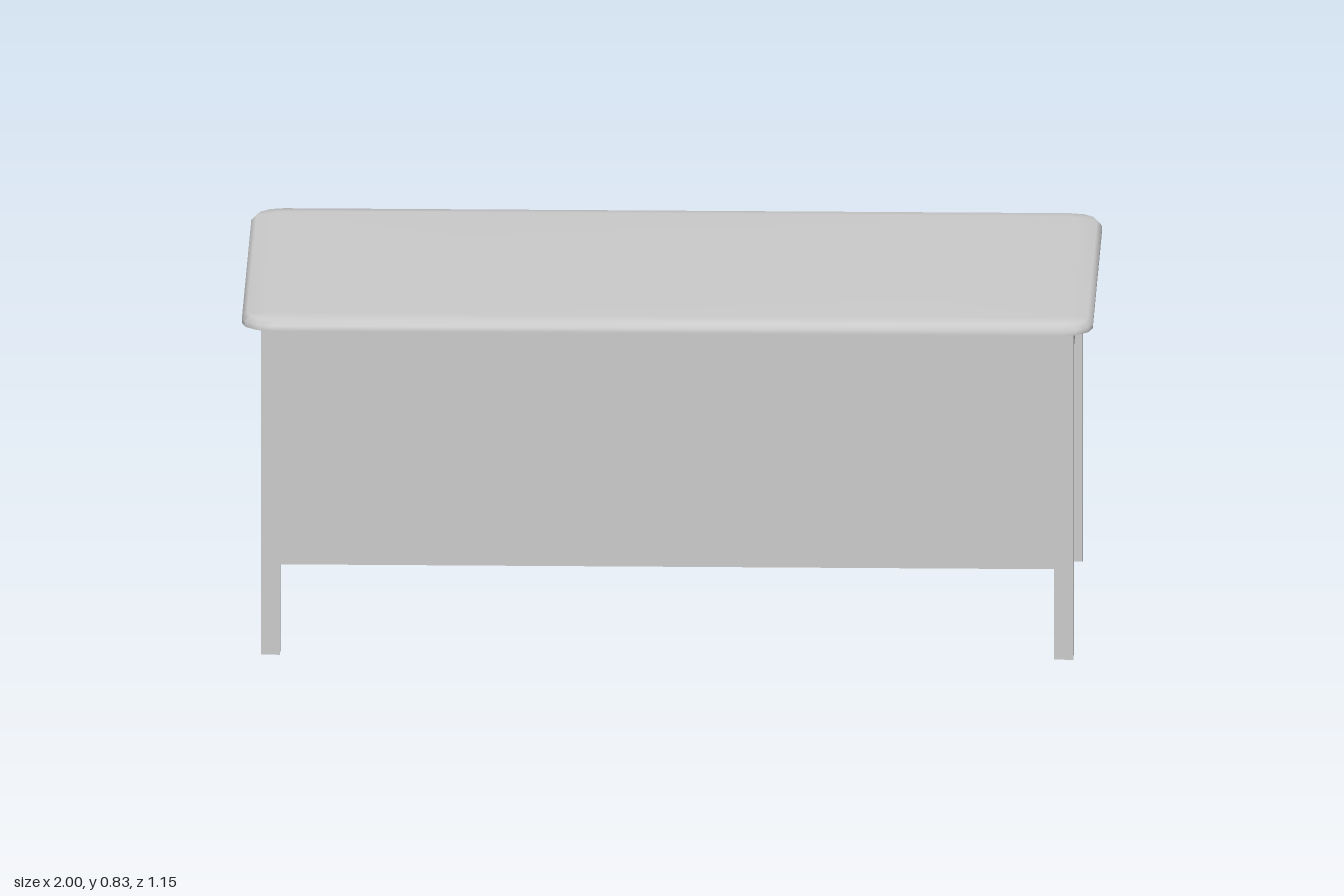
import * as THREE from 'three';

const material = new THREE.MeshStandardMaterial({ color: 0xcccccc });

function addMesh(parent, name, geometry) {
  const mesh = new THREE.Mesh(geometry, material);
  mesh.name = name;
  parent.add(mesh);
  return mesh;
}

// Box given by its lower and upper limits on each axis
function addBox(parent, name, [x0, x1], [y0, y1], [z0, z1]) {
  const mesh = addMesh(parent, name, new THREE.BoxGeometry(x1 - x0, y1 - y0, z1 - z0));
  mesh.position.set((x0 + x1) / 2, (y0 + y1) / 2, (z0 + z1) / 2);
  return mesh;
}

// Slab with rounded corners and a softened upper edge, lofted from inset rings
function tabletopGeometry() {
  const hx = 1, hz = 0.52, r = 0.075, steps = 3;
  const rings = [[0.03, 0.8], [0, 0.8], [0, 0.8], [0, 0.812], [0.012, 0.825], [0.06, 0.83]];
  const signs = [[1, 1], [-1, 1], [-1, -1], [1, -1]];
  const pos = [], index = [], n = 4 * (steps + 1);
  for (const [inset, y] of rings) {
    signs.forEach(([sx, sz], corner) => {
      for (let s = 0; s <= steps; s++) {
        const a = (corner + s / steps) * Math.PI / 2;
        pos.push(sx * (hx - r) + (r - inset) * Math.cos(a), y, sz * (hz - r) + (r - inset) * Math.sin(a));
      }
    });
  }
  const bottom = pos.length / 3, top = bottom + 1;
  pos.push(0, 0.8, 0, 0, 0.83, 0);
  for (let i = 0; i < n; i++) {
    const j = (i + 1) % n;
    for (let k = 0; k < rings.length - 1; k++) {
      if (k === 1) continue; // hard edge between underside and rim
      const a = k * n + i, b = k * n + j;
      index.push(a, a + n, b, b, a + n, b + n);
    }
    const last = (rings.length - 1) * n;
    index.push(bottom, i, j, top, last + j, last + i);
  }
  const geometry = new THREE.BufferGeometry();
  geometry.setAttribute('position', new THREE.Float32BufferAttribute(pos, 3));
  geometry.setIndex(index);
  geometry.computeVertexNormals();
  return geometry;
}

// Flat strip bent into a shallow bracket, projecting towards the back
function handleGeometry() {
  const w = 0.09, d = 0.034, t = 0.008, c = 0.01;
  const shape = new THREE.Shape([
    [-w, 0], [-w, d - c], [-w + c, d], [w - c, d], [w, d - c], [w, 0],
    [w - t, 0], [w - t, d - c], [w - c, d - t], [-w + c, d - t], [-w + t, d - c], [-w + t, 0],
  ].map(([x, y]) => new THREE.Vector2(x, y)));
  return new THREE.ExtrudeGeometry(shape, { depth: 0.024, bevelEnabled: false }).rotateX(-Math.PI / 2);
}

// Open-topped drawer with front board and handle; zFront is the outer face
function addDrawer(parent, name, zFront, frontY, boxY, handleY) {
  const drawer = new THREE.Group();
  drawer.name = name;
  parent.add(drawer);
  const x = [0.365, 0.885], t = 0.01, z = [zFront + 0.02, zFront + 0.85];
  addBox(drawer, 'drawerFront', [0.345, 0.907], frontY, [zFront, zFront + 0.021]);
  addBox(drawer, 'drawerBottom', x, [boxY[0], boxY[0] + t], z);
  addBox(drawer, 'drawerSide', [x[0], x[0] + t], boxY, z);
  addBox(drawer, 'drawerSide', [x[1] - t, x[1]], boxY, z);
  addBox(drawer, 'drawerBack', x, boxY, [z[1] - t, z[1]]);
  addMesh(drawer, 'drawerHandle', handleGeometry()).position.set(0.63, handleY, zFront);
}

export function createModel() {
  const desk = new THREE.Group();
  desk.name = 'desk';

  addMesh(desk, 'tabletop', tabletopGeometry()).position.z = 0.055;

  // Frame: four legs and the rails joining them under the top
  const frame = new THREE.Group();
  frame.name = 'frame';
  desk.add(frame);
  const out = 0.955, inn = 0.91;
  const frontZ = [0.48, 0.525], backZ = [-0.415, -0.37], railY = [0.745, 0.8];
  for (const x of [[-out, -inn], [inn, out]]) {
    for (const z of [frontZ, backZ]) addBox(frame, 'leg', x, [0, 0.8], z);
    addBox(frame, 'sideRail', x, railY, [backZ[1], frontZ[0]]);
  }
  for (const z of [frontZ, backZ]) addBox(frame, 'longRail', [-inn, inn], railY, z);

  // Front panel, flush with the legs
  addBox(desk, 'frontPanel', [-inn, inn], [0.22, 0.745], [0.513, 0.525]);

  // Drawer pedestal, open towards the back
  const pedestal = new THREE.Group();
  pedestal.name = 'pedestal';
  desk.add(pedestal);
  const depth = [-0.413, 0.513], height = [0.22, 0.745];
  addBox(pedestal, 'pedestalInnerSide', [0.345, 0.36], height, depth);
  addBox(pedestal, 'pedestalOuterSide', [0.895, 0.91], height, depth);
  addBox(pedestal, 'pedestalBottom', [0.36, 0.895], [0.22, 0.232], depth);
  addBox(pedestal, 'pedestalShelf', [0.36, 0.895], [0.557, 0.57], depth);

  addDrawer(pedestal, 'upperDrawer', -0.54, [0.565, 0.745], [0.575, 0.733], 0.643);
  addDrawer(pedestal, 'lowerDrawer', -0.485, [0.223, 0.563], [0.235, 0.552], 0.43);

  return desk;
}
